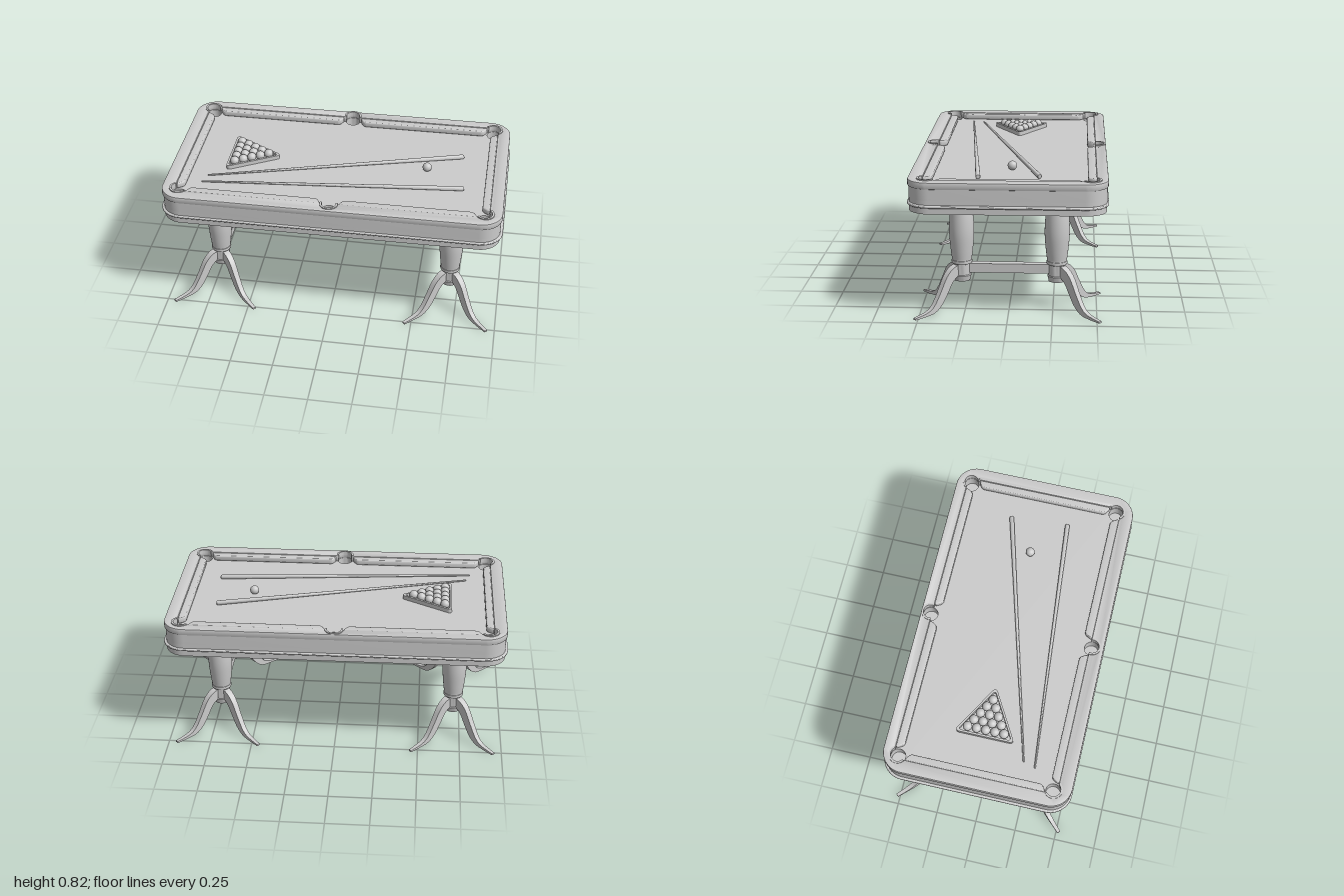
import * as THREE from 'three';
import { toCreasedNormals } from 'three/addons/utils/BufferGeometryUtils.js';

const BED = 0.765, TOP = 0.803, ZC = -0.008; // bed height, rail height, playfield centre
const POCKET_R = 0.043, HALF_X = 0.917, HALF_Z = 0.48;
const mat = new THREE.MeshStandardMaterial({ color: 0xcccccc });
const V = (x, y) => new THREE.Vector2(x, y);

function add(parent, name, geo) {
  const mesh = new THREE.Mesh(geo, mat);
  mesh.name = name;
  parent.add(mesh);
  return mesh;
}

// Polygon with rounded corners
function roundedPoly(pts, r) {
  const s = new THREE.Shape(), n = pts.length, k = 0.45;
  pts.forEach((p, i) => {
    const toward = (q, d) => p.clone().add(q.clone().sub(p).setLength(d));
    const prev = pts[(i + n - 1) % n], next = pts[(i + 1) % n];
    const a = toward(prev, r), b = toward(next, r);
    const c = toward(prev, r * k), d = toward(next, r * k);
    if (i) s.lineTo(a.x, a.y); else s.moveTo(a.x, a.y);
    s.bezierCurveTo(c.x, c.y, d.x, d.y, b.x, b.y);
  });
  s.closePath();
  return s;
}

const roundedRect = (hx, hz, r) =>
  roundedPoly([V(-hx, -hz), V(hx, -hz), V(hx, hz), V(-hx, hz)], r);

// Horizontal slab from a plan drawn in (x, z)
function slab(shape, y0, y1, b = 0, segs = 2) {
  const g = new THREE.ExtrudeGeometry(shape, {
    depth: y1 - y0 - 2 * b, curveSegments: 14, bevelEnabled: b > 0,
    bevelThickness: b, bevelSize: b, bevelOffset: -b, bevelSegments: segs,
  });
  g.rotateX(Math.PI / 2).translate(0, y1 - b, 0);
  return toCreasedNormals(g, 0.6);
}

// Six pockets in counterclockwise order: centre, outward direction, half sweep
const deg = Math.PI / 180;
const pockets = [
  [0.892, 0.455, 45, 99.5], [0, 0.49, 90, 103.5], [-0.892, 0.455, 135, 99.5],
  [-0.892, -0.455, 225, 99.5], [0, -0.49, 270, 103.5], [0.892, -0.455, 315, 99.5],
].map(([x, z, dir, half]) => ({ x, z: z + ZC, from: (dir - half) * deg, to: (dir + half) * deg }));

function buildTable(root) {
  const table = new THREE.Group();
  table.name = 'tableBody';
  root.add(table);
  add(table, 'apron', slab(roundedRect(0.985, 0.546, 0.12), 0.625, 0.7));
  add(table, 'moulding', slab(roundedRect(1, 0.556, 0.13), 0.66, 0.676, 0.007, 4));

  // Upper body carries the bed and the pocket wells
  const bed = roundedRect(0.985, 0.546, 0.12);
  pockets.forEach(p => bed.holes.push(new THREE.Path().absarc(p.x, p.z, POCKET_R, 0, Math.PI * 2)));
  add(table, 'bed', slab(bed, 0.7, BED));

  // Rail frame with an opening that bites out around each pocket
  const rail = roundedRect(0.992, 0.552, 0.125);
  const opening = new THREE.Path();
  pockets.forEach(p => opening.absarc(p.x, p.z, POCKET_R, p.from, p.to));
  opening.closePath();
  rail.holes.push(opening);
  add(table, 'rail', slab(rail, BED, TOP, 0.004));

  // Raised collars around the pockets
  pockets.forEach(p => {
    const s = new THREE.Shape();
    s.absarc(p.x, p.z, 0.053, p.from, p.to, false);
    s.absarc(p.x, p.z, POCKET_R - 0.002, p.to, p.from, true);
    s.closePath();
    add(table, 'pocketCollar', slab(s, 0.785, 0.809));
  });

  // Cushions: four long ones and two short ones
  for (const sz of [-1, 1]) for (const sx of [-1, 1]) {
    const pts = [V(0.05, HALF_Z), V(0.075, 0.432), V(0.825, 0.432), V(0.853, HALF_Z)]
      .map(p => V(p.x * sx, p.y * sz + ZC));
    add(table, 'longCushion', slab(roundedPoly(pts, 0.015), BED, 0.8, 0.007, 3));
  }
  for (const sx of [-1, 1]) {
    const pts = [V(HALF_X, -0.415), V(0.872, -0.385), V(0.872, 0.385), V(HALF_X, 0.415)]
      .map(p => V(p.x * sx, p.y + ZC));
    add(table, 'shortCushion', slab(roundedPoly(pts, 0.015), BED, 0.8, 0.007, 3));
  }
}

// Splayed foot: S-curved side profile, tapered in width toward the toe
function footGeometry() {
  const s = new THREE.Shape();
  s.moveTo(0.03, 0.205);
  s.splineThru([V(0.08, 0.17), V(0.12, 0.108), V(0.16, 0.05), V(0.21, 0.013), V(0.27, 0.003), V(0.35, 0)]);
  s.lineTo(0.35, 0.01);
  s.splineThru([V(0.262, 0.024), V(0.215, 0.055), V(0.17, 0.125), V(0.125, 0.205), V(0.08, 0.247), V(0.03, 0.262)]);
  s.closePath();
  const g = new THREE.ExtrudeGeometry(s, { depth: 1, bevelEnabled: false, curveSegments: 4 });
  const p = g.attributes.position;
  for (let i = 0; i < p.count; i++) {
    const width = 0.042 - 0.07 * Math.max(0, p.getX(i) - 0.03);
    p.setZ(i, (p.getZ(i) - 0.5) * width);
  }
  return toCreasedNormals(g, 0.6);
}

function buildLegs(root) {
  const belly = new THREE.SplineCurve([V(0.056, 0.285), V(0.064, 0.35), V(0.071, 0.44), V(0.068, 0.53), V(0.057, 0.626)]);
  const profile = [V(0, 0.163), V(0.047, 0.163), V(0.054, 0.195), V(0.05, 0.2), V(0.05, 0.262),
    V(0.058, 0.266), V(0.06, 0.275), V(0.058, 0.284), ...belly.getPoints(16), V(0, 0.626)];
  const column = toCreasedNormals(new THREE.LatheGeometry(profile, 32), 0.6);
  const foot = footGeometry();
  for (const sx of [-1, 1]) {
    const trestle = new THREE.Group();
    trestle.name = 'trestle';
    trestle.position.x = sx * 0.704;
    root.add(trestle);
    add(trestle, 'stretcher', new THREE.BoxGeometry(0.045, 0.054, 0.5)).position.y = 0.237;
    for (const sz of [-1, 1]) {
      add(trestle, 'column', column).position.z = sz * 0.271;
      for (const side of [-1, 1]) {
        const f = add(trestle, 'foot', foot);
        f.position.z = sz * 0.271;
        f.rotation.y = -sz * (Math.PI / 2 + side * Math.PI / 4);
      }
    }
  }
}

function buildGame(root) {
  const game = new THREE.Group();
  game.name = 'gamePieces';
  root.add(game);

  // Triangle rack
  const triangle = (r, round) => roundedPoly(
    [0, 120, 240].map(a => V(-0.572 + 2 * r * Math.cos(a * deg), -0.009 + 2 * r * Math.sin(a * deg))), round);
  const rack = triangle(0.103, 0.03);
  rack.holes.push(triangle(0.091, 0.02));
  add(game, 'rack', slab(rack, BED, 0.79));

  // Racked balls and the cue ball
  const R = 0.027, ball = new THREE.SphereGeometry(R, 24, 16);
  for (let row = 0; row < 5; row++) for (let i = 0; i <= row; i++) {
    add(game, 'ball', ball).position.set(
      -0.447 - (4 - (4 - row)) * R * Math.sqrt(3), BED + R, -0.009 + (i - row / 2) * 2 * R);
  }
  add(game, 'cueBall', ball).position.set(0.518, BED + R - 0.002, -0.008);

  // Two tapered cues lying on the bed
  const cues = [[-0.765, 0.245, 0.728, -0.172], [-0.787, 0.315, 0.753, 0.172]];
  for (const [x0, z0, x1, z1] of cues) {
    const tip = new THREE.Vector3(x0, BED + 0.006, z0), butt = new THREE.Vector3(x1, BED + 0.014, z1);
    const axis = butt.clone().sub(tip), len = axis.length();
    const geo = new THREE.LatheGeometry([V(0, 0), V(0.004, 0.001), V(0.005, 0.006),
      V(0.01, len * 0.6), V(0.014, len - 0.01), V(0.011, len - 0.002), V(0, len)], 16);
    const cue = add(game, 'cue', toCreasedNormals(geo, 0.6));
    cue.position.copy(tip);
    cue.quaternion.setFromUnitVectors(new THREE.Vector3(0, 1, 0), axis.normalize());
  }
}

export function createModel() {
  const root = new THREE.Group();
  root.name = 'billiardTable';
  buildTable(root);
  buildLegs(root);
  buildGame(root);
  return root;
}
